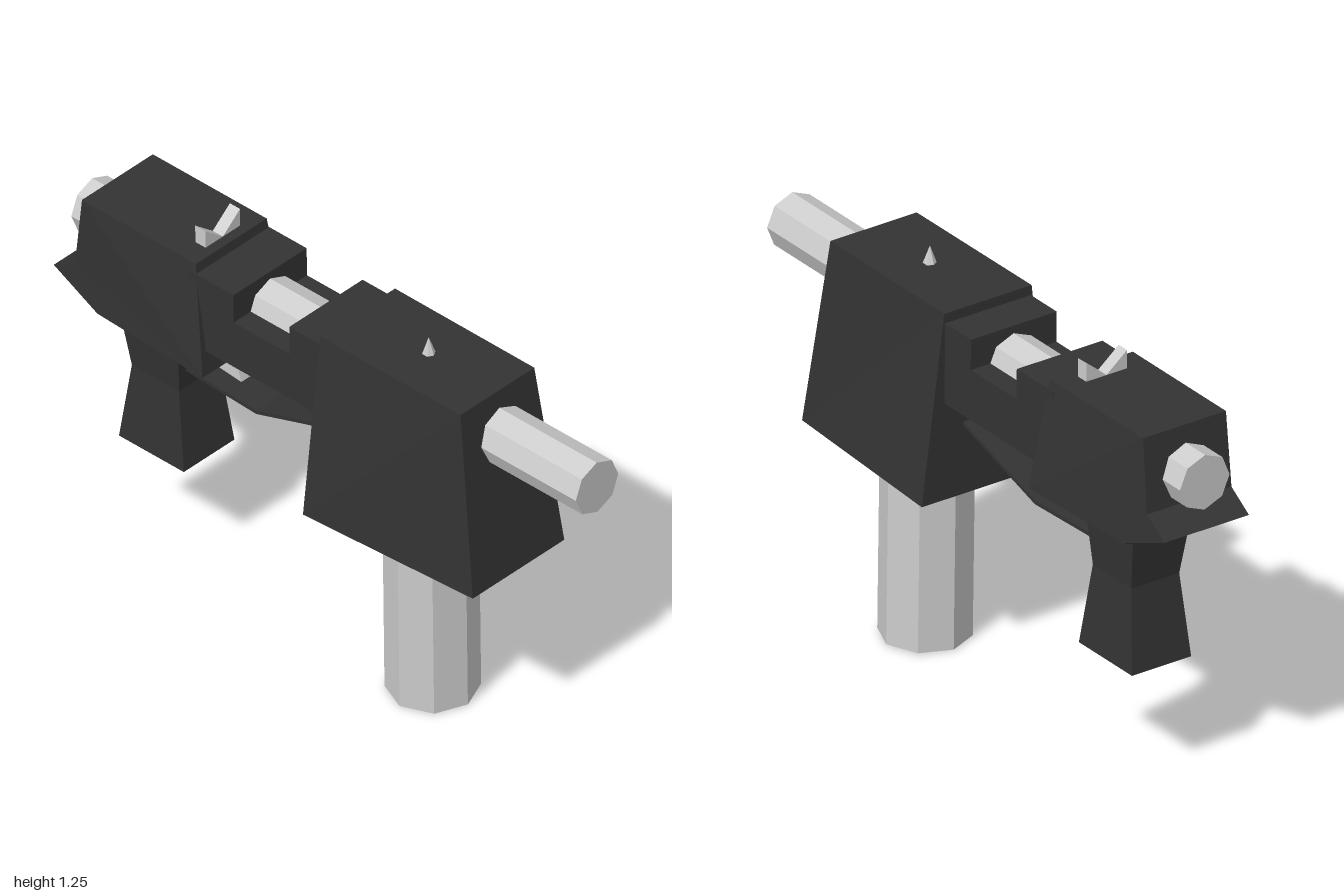
import * as THREE from 'three';

const dark = new THREE.MeshStandardMaterial({ color: 0x333333, flatShading: true });
const grey = new THREE.MeshStandardMaterial({ color: 0xcccccc, flatShading: true });

function mesh(name, geometry, material) {
  const m = new THREE.Mesh(geometry, material);
  m.name = name;
  return m;
}

// Stacks rectangular sections [y, zBack, zFront, halfWidthBack, halfWidthFront], lowest first.
function stack(sections) {
  const n = sections.length - 1;
  const geo = new THREE.BoxGeometry(1, 1, 1, 1, n, 1);
  const p = geo.attributes.position;
  for (let i = 0; i < p.count; i++) {
    const [y, back, front, halfBack, halfFront] = sections[Math.round((p.getY(i) + 0.5) * n)];
    const isFront = p.getZ(i) > 0;
    p.setXYZ(i, Math.sign(p.getX(i)) * (isFront ? halfFront : halfBack), y, isFront ? front : back);
  }
  geo.computeVertexNormals();
  return geo;
}

// Extrudes a side outline of [z, y] points across x; half(y, z) gives the half width.
function sideProfile(points, half) {
  const shape = new THREE.Shape(points.map(([z, y]) => new THREE.Vector2(-z, y)));
  const geo = new THREE.ExtrudeGeometry(shape, { depth: 2, bevelEnabled: false });
  geo.translate(0, 0, -1).rotateY(Math.PI / 2);
  const p = geo.attributes.position;
  for (let i = 0; i < p.count; i++) p.setX(i, Math.sign(p.getX(i)) * half(p.getY(i), p.getZ(i)));
  geo.computeVertexNormals();
  return geo;
}

export function createModel() {
  const body = new THREE.Group();
  body.name = 'body';

  // Tapered front housing
  body.add(mesh('frontHousing', stack([
    [0.59, 0.055, 0.685, 0.23, 0.19],
    [1.188, 0.06, 0.61, 0.155, 0.153],
  ]), dark));

  // Middle receiver with the open notch on top
  body.add(mesh('receiver', sideProfile([
    [0.1, 0.9], [-0.46, 0.9], [-0.46, 1.157], [-0.285, 1.157],
    [-0.285, 1.06], [-0.065, 1.06], [-0.065, 1.157], [0.1, 1.157],
  ], () => 0.152), dark));

  // Rear housing with its pointed tail
  body.add(mesh('rearHousing', sideProfile([
    [-0.385, 0.825], [-0.815, 0.825], [-0.997, 0.9],
    [-0.912, 0.955], [-0.885, 1.188], [-0.437, 1.188],
  ], (y, z) => (y > 1 ? 0.147 : z < -0.9 ? 0.15 : z < -0.6 ? 0.162 : 0.18)), dark));

  // Grip, flaring into the rear housing at the top
  body.add(mesh('grip', stack([
    [0.37, -0.79, -0.535, 0.105, 0.105],
    [0.63, -0.755, -0.57, 0.085, 0.085],
    [0.79, -0.78, -0.555, 0.1, 0.1],
    [0.825, -0.815, -0.385, 0.162, 0.18],
  ]), dark));

  // Barrel running the full length
  const barrel = mesh('barrel', new THREE.CylinderGeometry(0.088, 0.088, 1.985, 8), grey);
  barrel.rotation.x = Math.PI / 2;
  barrel.position.set(0, 1.045, 0.0075);
  body.add(barrel);

  // Magazine
  const magazine = mesh('magazine', new THREE.CylinderGeometry(0.138, 0.138, 0.62, 8), grey);
  magazine.position.set(0, 0.31, 0.34);
  body.add(magazine);

  // Trigger and its guard strap
  body.add(mesh('trigger', sideProfile([
    [-0.4, 0.84], [-0.405, 0.79], [-0.385, 0.722], [-0.545, 0.738], [-0.545, 0.84],
  ], () => 0.02), grey));
  body.add(mesh('triggerGuard', sideProfile([
    [0.07, 0.826], [0.07, 0.814], [-0.275, 0.694], [-0.58, 0.694], [-0.58, 0.706], [-0.275, 0.706],
  ], (y, z) => 0.085 + 0.04 * Math.min(z, 0)), dark));

  // Front sight
  const frontSight = mesh('frontSight', new THREE.ConeGeometry(0.022, 0.06, 6), grey);
  frontSight.position.set(0, 1.213, 0.34);
  body.add(frontSight);

  // Rear sight: two prongs around a V notch
  const notch = new THREE.Shape([[-0.072, 1.18], [0.072, 1.18], [0.072, 1.247], [0, 1.188], [-0.072, 1.247]]
    .map(([x, y]) => new THREE.Vector2(x, y)));
  const rearSight = mesh('rearSight', new THREE.ExtrudeGeometry(notch, { depth: 0.04, bevelEnabled: false }), grey);
  rearSight.position.z = -0.51;
  body.add(rearSight);

  // The whole body sits slightly turned and tilted
  body.rotation.set(0, -0.03, 0.014);
  body.position.set(0.006, 0.003, 0);

  const model = new THREE.Group();
  model.name = 'model';
  model.add(body);
  return model;
}
